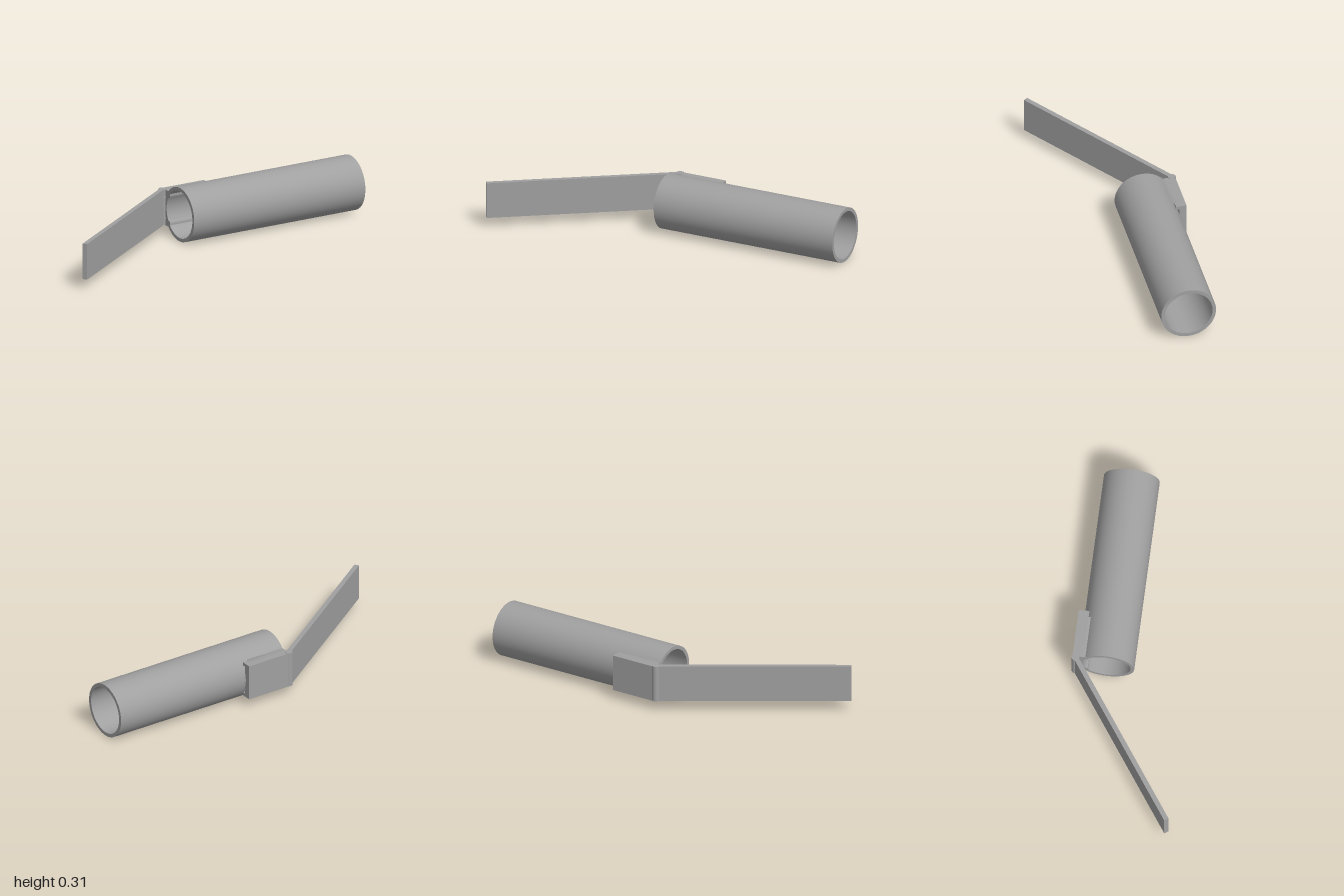
import * as THREE from 'three';
import { toCreasedNormals } from 'three/addons/utils/BufferGeometryUtils.js';

export function createModel() {
  const model = new THREE.Group();
  const grey = new THREE.MeshStandardMaterial({ color: 0xa0a0a0 });
  grey.name = 'plain grey';
  const midY = 0.158, height = 0.208;

  const add = (parent, name, geometry, x, y, z) => {
    const mesh = new THREE.Mesh(geometry, grey);
    mesh.name = name;
    mesh.position.set(x, y, z);
    parent.add(mesh);
    return mesh;
  };

  // Angled assembly: origin at the tube mouth, running back along local -z
  const barrel = new THREE.Group();
  barrel.name = 'tubeAssembly';
  barrel.position.set(-0.303, midY, 0.005);
  barrel.rotation.y = THREE.MathUtils.degToRad(-35);
  model.add(barrel);

  // Hollow open tube
  const outer = 0.157, inner = 0.137, length = 1.12;
  const profile = [[outer, 0], [outer, length], [inner, length], [inner, 0], [outer, 0]]
    .map(([r, y]) => new THREE.Vector2(r, y));
  const tube = toCreasedNormals(new THREE.LatheGeometry(profile, 72), 0.6);
  tube.rotateX(-Math.PI / 2);
  add(barrel, 'tube', tube, 0, 0, 0);

  // Flat bracket plate against the side of the tube
  add(barrel, 'bracketPlate', new THREE.BoxGeometry(0.04, height, 0.275), -0.17, 0, -0.1375);

  // Upper and lower flanges, with a rounded inner corner, reaching through the wall
  for (const side of [1, -1]) {
    const s = new THREE.Shape();
    s.moveTo(-0.16, 0.067 * side);
    s.lineTo(-0.114, 0.067 * side);
    s.quadraticCurveTo(-0.1015, 0.067 * side, -0.1015, 0.082 * side);
    s.lineTo(-0.1015, 0.094 * side);
    s.lineTo(-0.118, 0.104 * side);
    s.lineTo(-0.16, 0.104 * side);
    s.closePath();
    const flange = new THREE.ExtrudeGeometry(s, { depth: 0.24, bevelEnabled: false, curveSegments: 8 });
    add(barrel, side > 0 ? 'upperFlange' : 'lowerFlange', toCreasedNormals(flange, 0.6), 0, 0, -0.24);
    // Shallow outer part of the flange, running the full plate length
    add(barrel, 'flangeEdge', new THREE.BoxGeometry(0.03, 0.02, 0.275), -0.145, 0.094 * side, -0.1375);
  }

  // Hinge pin and long flat arm
  add(model, 'hingePin', new THREE.CylinderGeometry(0.0225, 0.0225, height, 32), -0.447, midY + 0.002, -0.09);
  add(model, 'arm', new THREE.BoxGeometry(0.027, height, 1.09), -0.447, midY + 0.002, 0.455);

  return model;
}
